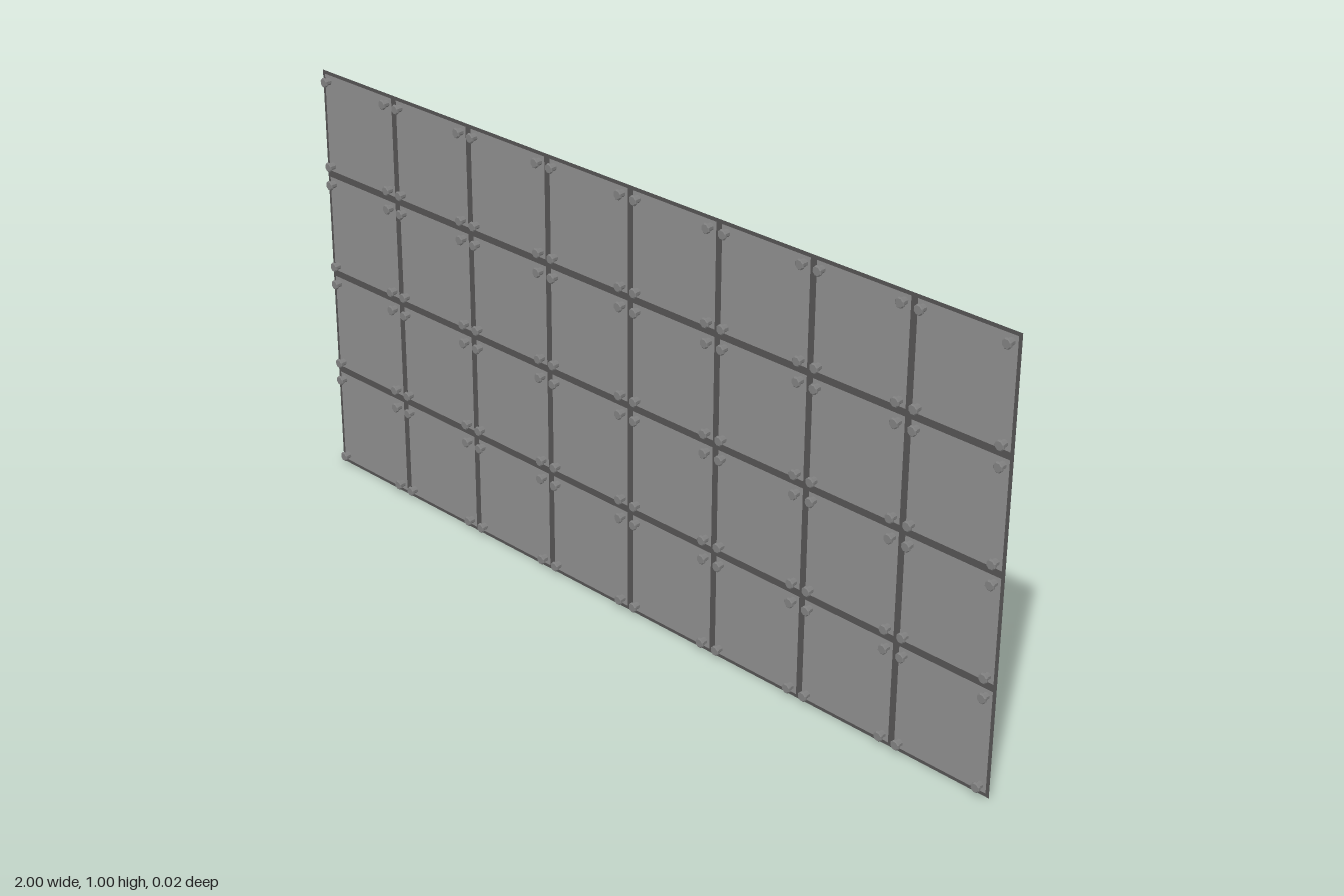
import * as THREE from 'three';

const COLS = 8, ROWS = 4, CELL = 0.25;
const SEAM = 0.016;      // width of the dark joint between panels
const BACK_Z = -0.0093;  // depth of the wall sheet
const FRONT_Z = 0.0093;  // tip of the bolt heads
const INSET = 0.0225;    // bolt distance from the cell edge

export function createModel() {
  const wall = new THREE.Group();
  wall.name = 'panelWall';

  const sheetMat = new THREE.MeshStandardMaterial({ color: 0x555454, side: THREE.DoubleSide });
  const panelMat = new THREE.MeshStandardMaterial({ color: 0x8e8e8e });
  const boltMat = new THREE.MeshStandardMaterial({ color: 0x808080, flatShading: true });

  // Thin backing sheet, seen as dark seams between the panels
  const sheet = new THREE.Mesh(new THREE.PlaneGeometry(COLS * CELL, ROWS * CELL), sheetMat);
  sheet.name = 'backingSheet';
  sheet.position.set(0, ROWS * CELL / 2, BACK_Z);
  wall.add(sheet);

  // Bolt: narrow shank with a wide head, axis turned to face +z
  const profile = [
    [0.008, BACK_Z], [0.008, 0.003], [0.0115, 0.004], [0.0115, 0.0075], [0.0095, FRONT_Z], [0, FRONT_Z],
  ].map(([r, z]) => new THREE.Vector2(r, z));
  const boltGeo = new THREE.LatheGeometry(profile, 8, Math.PI / 8).rotateX(Math.PI / 2);
  const panelGeo = new THREE.PlaneGeometry(CELL - SEAM, CELL - SEAM);

  for (let row = 0; row < ROWS; row++) {
    for (let col = 0; col < COLS; col++) {
      const cell = new THREE.Group();
      cell.name = `panelCell_${row}_${col}`;
      cell.position.set((col + 0.5 - COLS / 2) * CELL, (row + 0.5) * CELL, 0);

      const panel = new THREE.Mesh(panelGeo, panelMat);
      panel.name = 'panel';
      panel.position.z = BACK_Z + 0.0008;
      cell.add(panel);

      // One bolt in each corner
      const d = CELL / 2 - INSET;
      for (const sx of [-1, 1]) for (const sy of [-1, 1]) {
        const bolt = new THREE.Mesh(boltGeo, boltMat);
        bolt.name = 'cornerBolt';
        bolt.position.set(sx * d, sy * d, 0);
        cell.add(bolt);
      }
      wall.add(cell);
    }
  }
  return wall;
}
